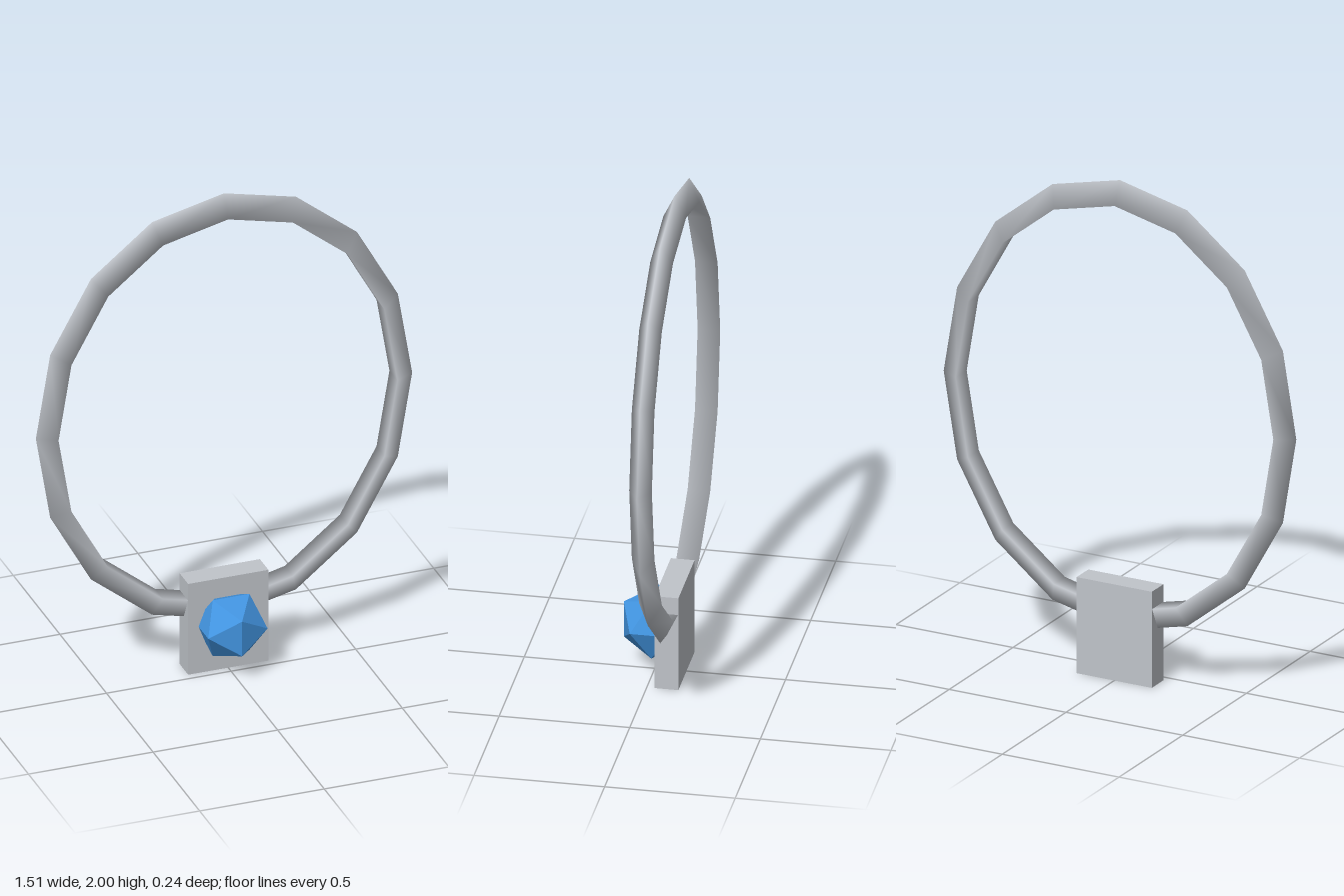
import * as THREE from 'three';

export function createModel() {
  const group = new THREE.Group();
  group.name = 'gemRing';

  const silver = new THREE.MeshStandardMaterial({ color: 0xc0c4ca });
  silver.name = 'silver';
  const blue = new THREE.MeshStandardMaterial({ color: 0x4294e0, flatShading: true });
  blue.name = 'gem blue';

  const add = (name, geometry, material, x, y, z) => {
    const mesh = new THREE.Mesh(geometry, material);
    mesh.name = name;
    mesh.position.set(x, y, z);
    group.add(mesh);
    return mesh;
  };

  // Tall oval hoop with a three-sided section
  const hoop = add('hoop', new THREE.TorusGeometry(0.705, 0.05, 3, 16), silver, 0, 1.094, -0.076);
  hoop.scale.y = 1.2;

  // Backing plate at the foot of the hoop
  add('plate', new THREE.BoxGeometry(0.322, 0.387, 0.091), silver, 0, 0.1935, -0.0755);

  // Faceted gem set into the plate
  add('gem', new THREE.IcosahedronGeometry(0.14, 0), blue, 0, 0.197, 0);

  return group;
}
